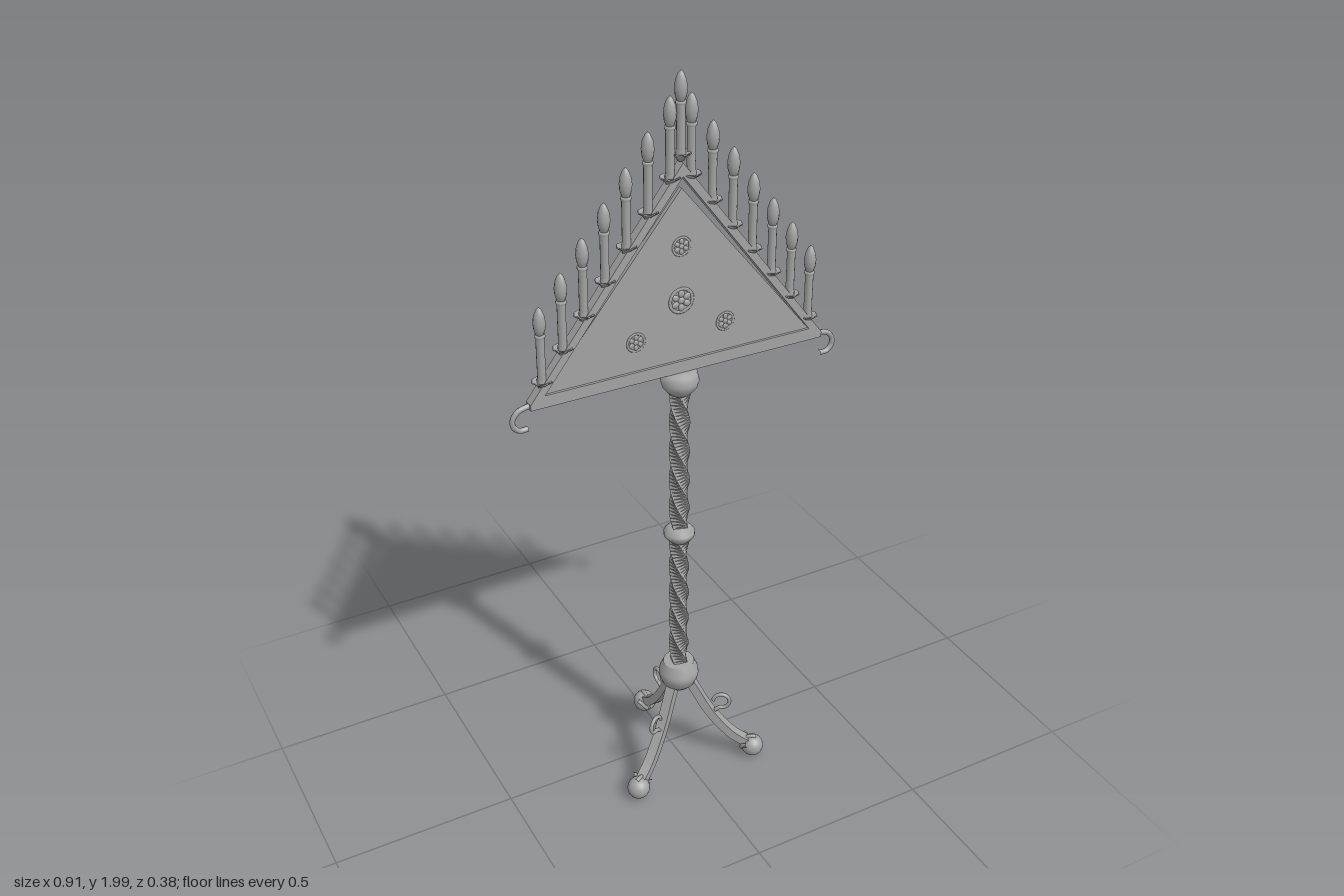
import * as THREE from 'three';

const AXIS_Z = 0.052;

export function createModel() {
  const model = new THREE.Group();
  model.name = 'candleStand';
  const stand = new THREE.Group();
  stand.name = 'stand';
  stand.position.z = AXIS_Z;
  model.add(stand);

  const metal = new THREE.MeshStandardMaterial({ color: 0xa3a3a3 });
  metal.name = 'grey metal';
  const V = (x, y, z = 0) => new THREE.Vector3(x, y, z);

  function add(parent, name, geometry, x = 0, y = 0, z = 0) {
    const mesh = new THREE.Mesh(geometry, metal);
    mesh.name = name;
    mesh.position.set(x, y, z);
    parent.add(mesh);
    return mesh;
  }
  // faceted profile: every band gets its own normals, so edges stay crisp
  function lathe(points, sides) {
    const g = new THREE.LatheGeometry(points.map(([r, y]) => new THREE.Vector2(r, y)), sides);
    return g;
  }
  function tube(points, radius, segments = 20, sides = 8) {
    return new THREE.TubeGeometry(new THREE.CatmullRomCurve3(points), segments, radius, sides);
  }
  function polygon(points) {
    return points.map(([x, y]) => new THREE.Vector2(x, y));
  }
  function plate(outline, hole, depth) {
    const shape = new THREE.Shape(polygon(outline));
    if (hole) shape.holes.push(new THREE.Path(polygon(hole)));
    return new THREE.ExtrudeGeometry(shape, { depth, bevelEnabled: false }).translate(0, 0, -depth / 2);
  }

  // twisted square pole
  function twistedBar(y0, y1) {
    const h = y1 - y0;
    const g = new THREE.CylinderGeometry(0.027, 0.027, h, 4, 48, true).toNonIndexed();
    const p = g.attributes.position;
    for (let i = 0; i < p.count; i++) {
      const v = V(p.getX(i), p.getY(i), p.getZ(i));
      v.applyAxisAngle(V(0, 1, 0), -v.y * (Math.PI / 2) / 0.085);
      p.setXYZ(i, v.x, v.y + (y0 + y1) / 2, v.z);
    }
    g.computeVertexNormals();
    return g;
  }
  add(stand, 'lowerPole', twistedBar(0.33, 0.76));
  add(stand, 'upperPole', twistedBar(0.775, 1.2));

  // collars
  add(stand, 'baseCollar', lathe([[0, 0.258], [0.032, 0.258], [0.045, 0.272], [0.053, 0.292], [0.055, 0.302],
    [0.054, 0.315], [0.043, 0.34], [0.042, 0.343], [0, 0.343]], 32));
  add(stand, 'middleCollar', lathe([[0, 0.744], [0.026, 0.744], [0.041, 0.762], [0.041, 0.774], [0.026, 0.791], [0, 0.791]], 24));
  add(stand, 'topCollar', lathe([[0, 1.188], [0.03, 1.188], [0.044, 1.206], [0.049, 1.222], [0.043, 1.247], [0, 1.247]], 32));

  // three curved legs with curls and ball feet
  const legCurve = new THREE.CatmullRomCurve3([V(0.02, 0.29), V(0.045, 0.245), V(0.078, 0.18),
    V(0.115, 0.125), V(0.155, 0.08), V(0.198, 0.05)]);
  const legTop = [], legBottom = [];
  for (let i = 0; i <= 16; i++) {
    const c = legCurve.getPoint(i / 16), t = legCurve.getTangent(i / 16);
    legTop.push([c.x - t.y * 0.012, c.y + t.x * 0.012]);
    legBottom.unshift([c.x + t.y * 0.012, c.y - t.x * 0.012]);
  }
  const legGeometry = plate([...legTop, ...legBottom], null, 0.028);
  const curl = [];
  for (let i = 0; i <= 12; i++) {
    const a = -1.75 + i * 0.4;
    curl.push(V(0.12 + Math.cos(a) * 0.023, 0.196 + Math.sin(a) * 0.023));
  }
  curl.unshift(V(0.096, 0.158));
  const curlGeometry = tube(curl, 0.0055, 32);

  for (const angle of [Math.PI / 2, -Math.PI / 6, -Math.PI * 5 / 6]) {
    const leg = new THREE.Group();
    leg.name = 'leg';
    leg.rotation.y = angle;
    stand.add(leg);
    add(leg, 'legBar', legGeometry);
    add(leg, 'legCurl', curlGeometry);
    add(leg, 'ballFoot', new THREE.SphereGeometry(0.031, 20, 14), 0.211, 0.037);
    // claws gripping the ball
    for (const side of [-1, 0, 1]) {
      const claw = [];
      for (let i = 0; i <= 5; i++) {
        const a = Math.PI * (0.8 - i * 0.08 + (side ? 0.28 : 0));
        claw.push(V(0.211 + Math.cos(a) * 0.031, 0.037 + Math.sin(a) * 0.031 * (side ? 0.8 : 1),
          side * (0.006 + i * 0.0045)));
      }
      add(leg, 'claw', tube(claw, 0.006, 8, 6));
    }
  }

  // triangular frame and panel
  add(stand, 'frame', plate(
    [[-0.405, 1.248], [0.405, 1.248], [0.405, 1.263], [0, 1.788], [-0.405, 1.263]],
    [[-0.367, 1.28], [0, 1.755], [0.367, 1.28]], 0.026));
  add(stand, 'panel', plate([[-0.371, 1.275], [0.371, 1.275], [0, 1.725]], null, 0.012));

  // rosettes on the front of the panel
  for (const [x, y, r] of [[0, 1.44, 0.035], [0, 1.58, 0.026], [-0.123, 1.357, 0.026], [0.123, 1.357, 0.026]]) {
    const rosette = new THREE.Group();
    rosette.name = 'rosette';
    rosette.position.set(x, y, 0.006);
    rosette.scale.set(r, r, r * 0.5);
    stand.add(rosette);
    add(rosette, 'rosetteRing', new THREE.TorusGeometry(0.87, 0.13, 6, 24));
    add(rosette, 'rosetteCentre', new THREE.SphereGeometry(0.26, 10, 8));
    for (let i = 0; i < 6; i++) {
      const a = i * Math.PI / 3 + Math.PI / 6;
      const petal = add(rosette, 'petal', new THREE.SphereGeometry(0.3, 10, 8), Math.cos(a) * 0.52, Math.sin(a) * 0.52);
      petal.rotation.z = a;
      petal.scale.set(1, 0.75, 0.8);
    }
  }

  // end hooks
  for (const s of [-1, 1]) {
    add(stand, 'endHook', tube([[0.385, 1.258], [0.41, 1.255], [0.433, 1.248], [0.447, 1.23], [0.446, 1.21],
      [0.431, 1.196], [0.41, 1.196]].map(([x, y]) => V(s * x, y)), 0.007, 28));
  }

  // candles with drip dishes climbing both slopes
  const dish = lathe([[0, -0.012], [0.009, -0.012], [0.012, -0.004], [0.026, 0.006], [0.024, 0.009], [0.012, 0.003], [0, 0.003]], 8);
  const stick = lathe([[0.012, 0], [0.012, 0.012], [0.0105, 0.016], [0.0105, 0.118], [0.013, 0.122], [0.013, 0.128], [0, 0.13]], 12);
  const flame = lathe([[0, 0.122], [0.009, 0.126], [0.014, 0.142], [0.0155, 0.158], [0.013, 0.176], [0.007, 0.191], [0, 0.198]], 12);
  function candle(x, y) {
    const g = new THREE.Group();
    g.name = 'candle';
    g.position.set(x, y, 0);
    stand.add(g);
    add(g, 'dripDish', dish);
    add(g, 'candleStick', stick);
    add(g, 'candleFlame', flame);
  }
  for (let i = 0; i < 7; i++) {
    for (const s of [-1, 1]) candle(s * (0.368 - i * 0.0567), 1.307 + i * 0.0735);
  }
  candle(0, 1.802);

  return model;
}
